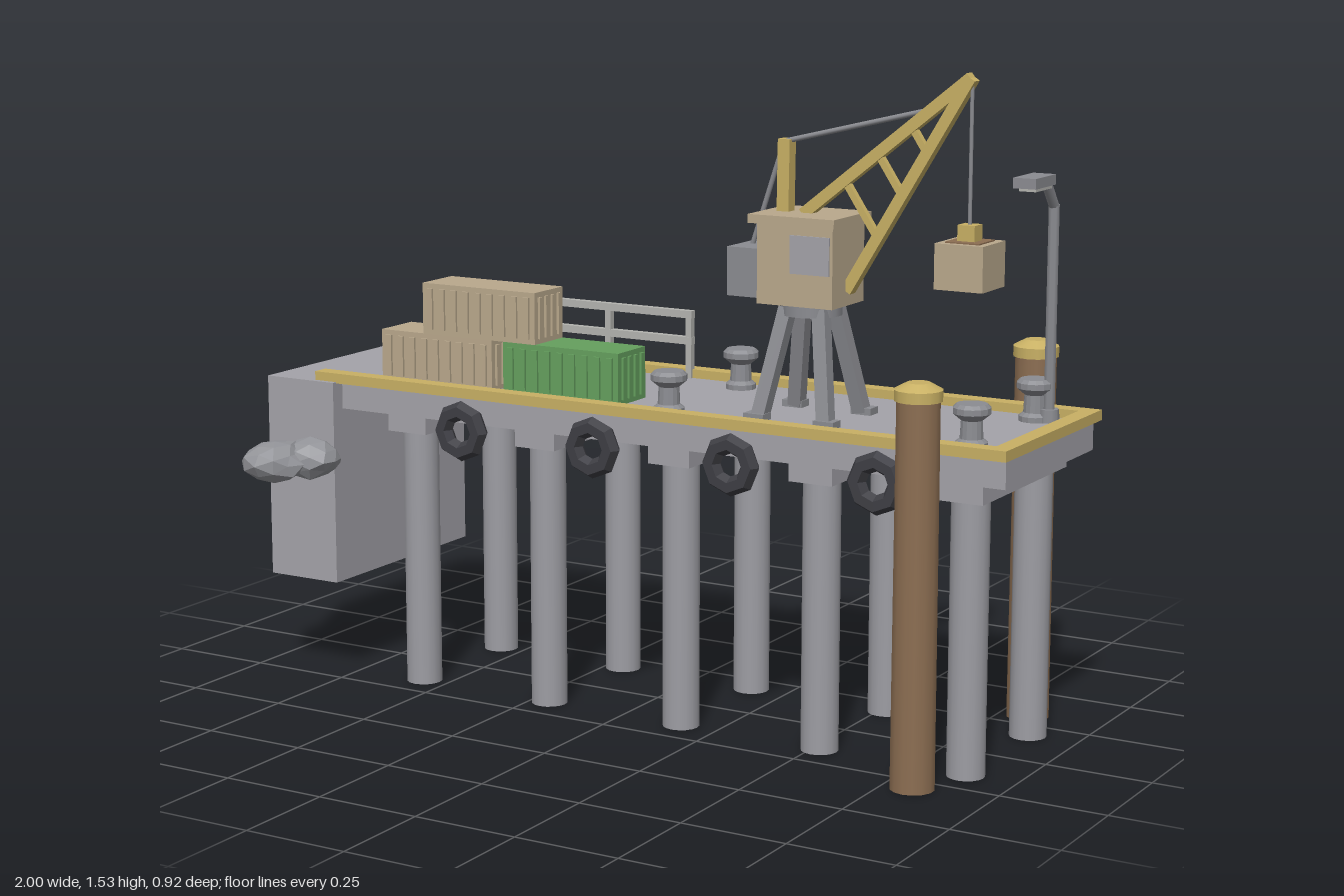
import * as THREE from 'three';

const mat = (name, color) => Object.assign(new THREE.MeshStandardMaterial({ color }), { name });

export function createModel() {
  const M = {
    concrete: mat('concrete', 0xa4a3a9),
    pile: mat('pileConcrete', 0x9d9da3),
    steel: mat('steel', 0x8b8c91),
    yellow: mat('yellowPaint', 0xc8b064),
    wood: mat('timber', 0x8c6e52),
    beige: mat('beigePaint', 0xb9a88c),
    green: mat('greenPaint', 0x65a05e),
    rubber: mat('rubber', 0x3e3e44),
    rock: mat('rock', 0x939499),
    rail: mat('railing', 0xb4b4b0),
  };
  const root = new THREE.Group();
  const ZC = -0.008; // centre line of the pier
  const TOP = 0.735; // deck surface

  const add = (name, geo, material, x = 0, y = 0, z = 0, parent = root) => {
    const m = new THREE.Mesh(geo, material);
    m.name = name;
    m.position.set(x, y, z);
    parent.add(m);
    return m;
  };
  // Box given by its lower and upper limits
  const box = (name, material, x0, x1, y0, y1, z0, z1, parent) =>
    add(name, new THREE.BoxGeometry(x1 - x0, y1 - y0, z1 - z0), material,
      (x0 + x1) / 2, (y0 + y1) / 2, (z0 + z1) / 2, parent);
  // Square bar or round rod between two points
  const beam = (name, material, a, b, w, round = false, parent = root) => {
    const p = new THREE.Vector3(...a), q = new THREE.Vector3(...b);
    const len = p.distanceTo(q);
    const geo = round ? new THREE.CylinderGeometry(w / 2, w / 2, len, 8) : new THREE.BoxGeometry(w, len, w);
    const m = add(name, geo, material, 0, 0, 0, parent);
    m.position.copy(p).add(q).multiplyScalar(0.5);
    m.quaternion.setFromUnitVectors(new THREE.Vector3(0, 1, 0), q.sub(p).normalize());
    return m;
  };
  const group = (name) => {
    const g = new THREE.Group();
    g.name = name;
    root.add(g);
    return g;
  };

  // Abutment, deck and curbs
  box('abutment', M.concrete, -0.94, -0.745, 0.243, TOP, ZC - 0.275, ZC + 0.275);
  box('deck', M.concrete, -0.745, 0.99, 0.667, TOP, ZC - 0.238, ZC + 0.238);
  for (const s of [-1, 1]) {
    const z = ZC + s * 0.242;
    box('sideCurb', M.yellow, -0.807, 1, TOP - 0.003, 0.756, z - 0.02, z + 0.02);
  }
  box('endCurb', M.yellow, 0.96, 1, TOP - 0.003, 0.756, ZC - 0.222, ZC + 0.222);

  // Piles with cross beams
  for (let i = 0; i < 5; i++) {
    const x = -0.565 + i * 0.361;
    box('crossBeam', M.concrete, x - 0.054, x + 0.054, 0.624, 0.667, ZC - 0.226, ZC + 0.226);
    for (const s of [-1, 1])
      add('pile', new THREE.CylinderGeometry(0.043, 0.043, 0.626, 16), M.pile, x, 0.313, ZC + s * 0.168);
  }

  // Tyre fenders along both sides
  for (let i = 0; i < 4; i++)
    for (const s of [-1, 1]) {
      const geo = new THREE.TorusGeometry(0.049, 0.023, 6, 8).toNonIndexed();
      geo.computeVertexNormals();
      add('fender', geo, M.rubber, -0.385 + i * 0.361, 0.653, ZC + s * 0.26);
    }

  // Timber mooring posts with yellow caps
  for (const s of [-1, 1]) {
    const z = ZC + s * 0.308;
    add('mooringPost', new THREE.CylinderGeometry(0.048, 0.05, 0.87, 14), M.wood, 0.817, 0.435, z);
    add('postCap', new THREE.CylinderGeometry(0.053, 0.053, 0.024, 14), M.yellow, 0.817, 0.867, z);
    add('postCapTop', new THREE.CylinderGeometry(0.026, 0.053, 0.015, 14), M.yellow, 0.817, 0.8865, z);
  }

  // Bollards
  const bollard = [[0, 0], [0.036, 0], [0.036, 0.012], [0.026, 0.02], [0.024, 0.06], [0.042, 0.075], [0.042, 0.088], [0.034, 0.096], [0, 0.096]]
    .map(([x, y]) => new THREE.Vector2(x, y));
  for (const x of [0.124, 0.877])
    for (const s of [-1, 1]) {
      const geo = new THREE.LatheGeometry(bollard, 14).toNonIndexed();
      geo.computeVertexNormals();
      add('bollard', geo, M.steel, x, TOP, ZC + s * 0.168);
    }

  // Corrugated containers, with door ribs on the +x end
  const container = (material, x0, y0) => {
    const g = group('container'), L = 0.316, H = 0.122, z0 = 0.041, z1 = 0.162;
    box('containerBody', material, x0, x0 + L, y0, y0 + H, z0, z1, g);
    for (let i = 0; i < 9; i++) {
      const x = x0 + 0.022 + i * (L - 0.044) / 8;
      box('sideRib', material, x - 0.008, x + 0.008, y0 + 0.012, y0 + H - 0.012, z0 - 0.006, z1 + 0.006, g);
    }
    for (let i = 0; i < 4; i++) {
      const z = z0 + 0.02 + i * 0.027;
      box('doorRib', material, x0 + L - 0.002, x0 + L + 0.006, y0 + 0.012, y0 + H - 0.012, z - 0.006, z + 0.006, g);
    }
  };
  container(M.beige, -0.674, TOP);
  container(M.green, -0.326, TOP);
  container(M.beige, -0.553, TOP + 0.122);

  // Railing on the back edge
  const railing = group('railing'), rz = -0.23;
  for (let i = 0; i < 4; i++) {
    const x = -0.728 + i * 0.227;
    box('railPost', M.rail, x - 0.008, x + 0.008, TOP, 0.892, rz - 0.008, rz + 0.008, railing);
  }
  for (const y of [0.89, 0.826])
    box('rail', M.rail, -0.737, -0.038, y - 0.009, y + 0.009, rz - 0.009, rz + 0.009, railing);

  // Lamp post
  const lamp = group('lampPost'), lx = 0.911, lz = -0.178;
  add('lampBase', new THREE.CylinderGeometry(0.022, 0.024, 0.03, 10), M.steel, lx, TOP + 0.015, lz, lamp);
  beam('lampPole', M.steel, [lx, TOP, lz], [lx, 1.225, lz], 0.026, true, lamp);
  beam('lampArm', M.steel, [lx, 1.22, lz], [lx, 1.285, -0.125], 0.024, true, lamp);
  beam('lampArmEnd', M.steel, [lx, 1.284, -0.13], [lx, 1.284, -0.09], 0.022, true, lamp);
  box('lampHead', M.steel, lx - 0.027, lx + 0.027, 1.276, 1.299, -0.12, -0.012, lamp);
  box('lampLens', M.rail, lx - 0.02, lx + 0.02, 1.268, 1.276, -0.115, -0.03, lamp);

  // Crane legs and turntable
  const crane = group('crane'), cx = 0.425, cz = 0.04;
  for (const sx of [-1, 1])
    for (const sz of [-1, 1]) {
      beam('craneLeg', M.steel, [cx + sx * 0.083, TOP + 0.006, cz + sz * 0.088],
        [cx + sx * 0.042, 0.985, cz + sz * 0.036], 0.032, false, crane);
      const fx = cx + sx * 0.088, fz = cz + sz * 0.092;
      box('craneFoot', M.steel, fx - 0.025, fx + 0.025, TOP, TOP + 0.016, fz - 0.019, fz + 0.019, crane);
    }
  add('turntable', new THREE.CylinderGeometry(0.07, 0.07, 0.028, 14), M.steel, cx, 0.984, cz, crane);

  // Cab, roof, windows and counterweight
  box('cab', M.beige, 0.326, 0.515, 0.996, 1.18, cz - 0.077, cz + 0.077, crane);
  box('cabRoof', M.beige, 0.31, 0.525, 1.178, 1.198, cz - 0.092, cz + 0.092, crane);
  for (const s of [-1, 1])
    add('cabWindow', new THREE.BoxGeometry(0.098, 0.086, 0.006), M.concrete, 0.459, 1.113, cz + s * 0.078, crane);
  box('counterweight', M.steel, 0.246, 0.327, 1.007, 1.118, cz - 0.07, cz + 0.07, crane);

  // Mast, boom and stays
  const tip = [0.808, 1.515, cz], upper = [0.405, 1.195, cz], lower = [0.515, 1.03, cz];
  const mix = (a, b, t) => a.map((v, i) => v + (b[i] - v) * t);
  beam('mast', M.yellow, [0.356, 1.19, cz], [0.358, 1.36, cz], 0.03, false, crane);
  beam('upperChord', M.yellow, upper, tip, 0.026, false, crane);
  beam('lowerChord', M.yellow, lower, tip, 0.026, false, crane);
  for (const t of [0.25, 0.45, 0.65])
    beam('boomBrace', M.yellow, mix(upper, tip, t), mix(lower, tip, t), 0.015, false, crane);
  beam('frontStay', M.steel, [0.358, 1.355, cz], [0.706, 1.44, cz], 0.012, true, crane);
  beam('rearStay', M.steel, [0.352, 1.355, cz], [0.272, 1.115, cz], 0.012, true, crane);

  // Hoist cable, hook block and hanging crate
  beam('hoistCable', M.steel, [0.808, 1.51, cz], [0.808, 1.19, cz], 0.009, true, crane);
  box('hookBlock', M.yellow, 0.788, 0.829, 1.16, 1.198, cz - 0.02, cz + 0.02, crane);
  box('crate', M.beige, 0.752, 0.867, 1.059, 1.16, cz - 0.058, cz + 0.058, crane);
  box('crateLid', M.wood, 0.769, 0.85, 1.159, 1.163, cz - 0.041, cz + 0.041, crane);

  // Boulders beside the abutment: flattened, jittered icosahedra
  const boulder = (x, y, z, rx, ry, rz2, seed) => {
    const geo = new THREE.IcosahedronGeometry(1, 1), p = geo.attributes.position;
    const v = new THREE.Vector3();
    for (let i = 0; i < p.count; i++) {
      v.fromBufferAttribute(p, i);
      const n = Math.sin(Math.round(v.x * 50) * 12.9 + Math.round(v.y * 50) * 78.2 + Math.round(v.z * 50) * 37.7 + seed) * 43.7;
      v.multiplyScalar(0.86 + 0.2 * (n - Math.floor(n)));
      p.setXYZ(i, v.x * rx, v.y * ry, v.z * rz2);
    }
    geo.computeVertexNormals();
    add('boulder', geo, M.rock, x, y, z);
  };
  boulder(-0.9, 0.557, -0.375, 0.1, 0.053, 0.083, 1);
  boulder(-0.836, 0.555, 0.378, 0.085, 0.052, 0.079, 2);
  boulder(-0.776, 0.558, 0.32, 0.081, 0.052, 0.072, 3);

  return root;
}
